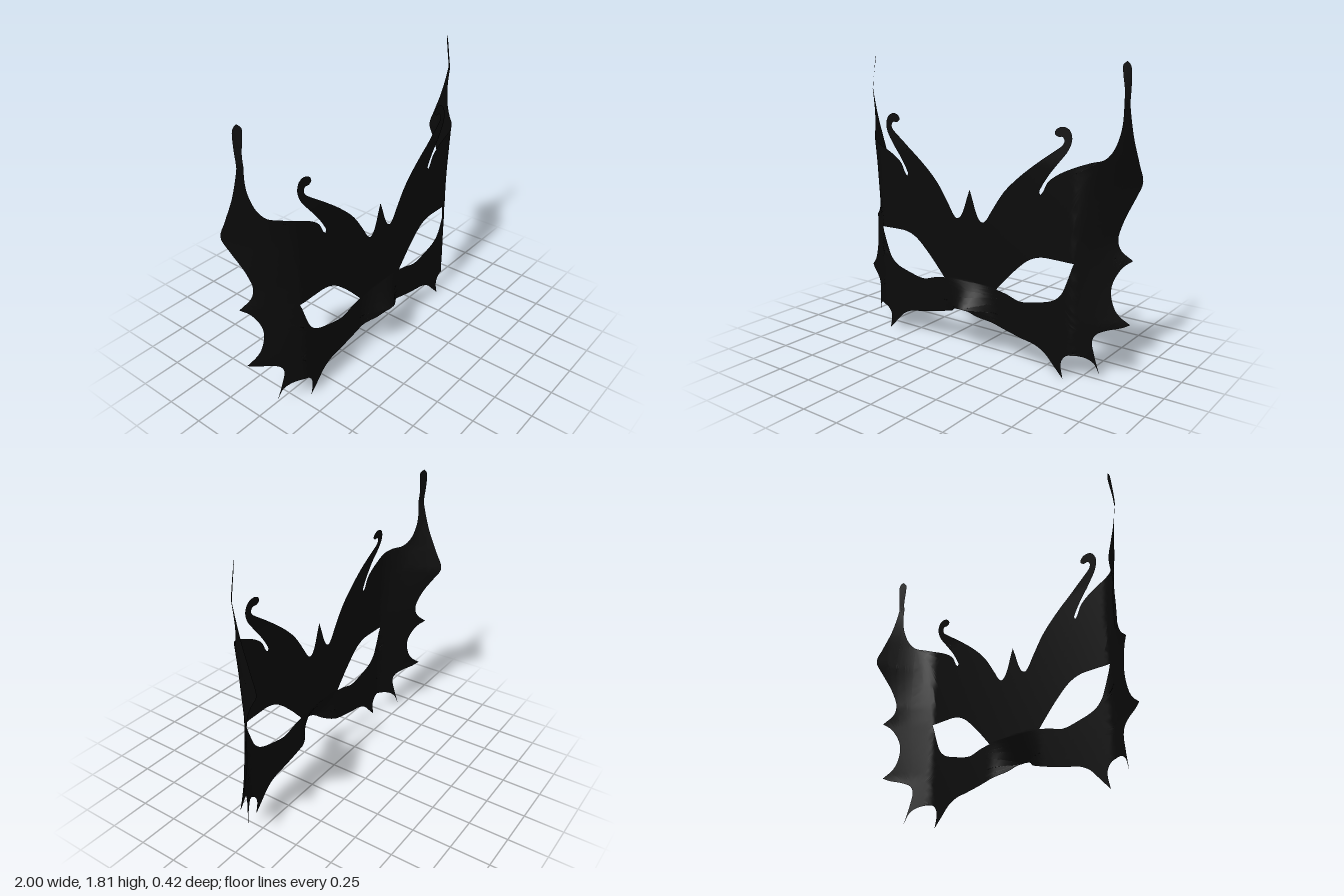
import * as THREE from 'three';
import { mergeVertices } from 'three/addons/utils/BufferGeometryUtils.js';

// Smooth run of [x, y] points, sharp at both ends
function run(pts, steps = 4) {
  const curve = new THREE.CatmullRomCurve3(pts.map(([x, y]) => new THREE.Vector3(x, y, 0)), false, 'centripetal');
  return curve.getPoints((pts.length - 1) * steps).map(p => new THREE.Vector2(p.x, p.y));
}

// Joins runs, dropping each repeated corner
const join = runs => runs.flatMap((r, i) => (i ? run(r).slice(1) : run(r)));
const mirror = pts => pts.map(p => new THREE.Vector2(-p.x, p.y)).reverse();

// Half outline, clockwise from the brow peak to the nose
const brow = [[0, 1.04], [0.02, 0.985], [0.05, 0.9], [0.075, 0.86], [0.1, 0.85], [0.125, 0.87], [0.16, 0.925],
  [0.25, 1.055], [0.36, 1.16], [0.49, 1.26], [0.6, 1.337]];
const curl = [[0.6, 1.337], [0.63, 1.362], [0.638, 1.385], [0.625, 1.405], [0.595, 1.405], [0.573, 1.422], [0.585, 1.447],
  [0.625, 1.46], [0.665, 1.445], [0.685, 1.4], [0.67, 1.34], [0.61, 1.26], [0.55, 1.185], [0.505, 1.115], [0.492, 1.085], [0.5, 1.07]];
const wingTop = [[0.5, 1.07], [0.517, 1.09], [0.545, 1.145], [0.6, 1.19], [0.7, 1.24], [0.8, 1.277], [0.85, 1.29],
  [0.88, 1.33], [0.908, 1.43], [0.92, 1.54], [0.92, 1.65], [0.904, 1.75], [0.9, 1.795], [0.915, 1.815]];
const wingSide = [[0.915, 1.815], [0.932, 1.79], [0.942, 1.7], [0.945, 1.55], [0.952, 1.4], [0.965, 1.25], [0.973, 1.15],
  [0.955, 1.06], [0.92, 0.93], [0.905, 0.83], [0.925, 0.77], [0.98, 0.715]];
const upperScallop = [[0.98, 0.715], [0.94, 0.68], [0.903, 0.6], [0.897, 0.53], [0.92, 0.44], [0.95, 0.395], [1, 0.352]];
const lowerScallop = [[1, 0.352], [0.96, 0.333], [0.89, 0.315], [0.84, 0.29], [0.822, 0.25], [0.832, 0.17], [0.86, 0.04]];
const fangGap = [[0.86, 0.04], [0.83, 0.115], [0.78, 0.15], [0.705, 0.155], [0.668, 0.12], [0.66, 0.08], [0.675, 0.003]];
const cheek = [[0.675, 0.003], [0.61, 0.07], [0.55, 0.13], [0.48, 0.165], [0.4, 0.18], [0.28, 0.205], [0.17, 0.235],
  [0.1, 0.265], [0.05, 0.3], [0, 0.31]];

const eyeTop = [[0.725, 0.705], [0.6, 0.708], [0.51, 0.705], [0.43, 0.675], [0.32, 0.58], [0.24, 0.495], [0.2, 0.45]];
const eyeBottom = [[0.2, 0.45], [0.28, 0.435], [0.37, 0.41], [0.49, 0.43], [0.6, 0.465], [0.65, 0.51], [0.68, 0.575], [0.725, 0.705]];

// Backward sweep of the sides by height: [y, linear, quadratic]
const SWEEP = [[0, 0.72, 0], [0.35, 0.64, 0], [0.72, 0.8, 0.2], [0.83, 0.7, 1.4], [1.12, 0.22, 4.2],
  [1.3, 0, 4.5], [1.6, 0.3, 2], [1.82, 0.9, 0]];

function sweep(y, d) {
  let i = 0;
  while (i < SWEEP.length - 2 && y > SWEEP[i + 1][0]) i++;
  const [y0, a0, b0] = SWEEP[i], [y1, a1, b1] = SWEEP[i + 1];
  const t = THREE.MathUtils.clamp((y - y0) / (y1 - y0), 0, 1);
  return THREE.MathUtils.lerp(a0, a1, t) * d + THREE.MathUtils.lerp(b0, b1, t) * d * d;
}

// Depth of the sheet: flat face, swept sides, raised nose, curls leaning back
function depth(x, y) {
  const ax = Math.abs(x);
  let z = 0.116 - 0.004 * y;
  if (ax > 0.72) z -= sweep(y, ax - 0.72);
  else if (y > 1.25) z -= (y - 1.25) * 0.11;
  if (ax < 0.2) {
    const rise = THREE.MathUtils.clamp((0.46 - y) / 0.15, 0, 1);
    z += 0.1 * rise * (1 + Math.cos(Math.PI * ax / 0.2)) / 2;
  }
  return z;
}

// Halves every edge longer than the limit so the sheet can bend
function subdivide(a, b, c, limit, out) {
  const ab = a.distanceTo(b), bc = b.distanceTo(c), ca = c.distanceTo(a);
  const longest = Math.max(ab, bc, ca);
  if (longest <= limit) { out.push(a, b, c); return; }
  if (longest === bc) [a, b, c] = [b, c, a];
  else if (longest === ca) [a, b, c] = [c, a, b];
  const m = a.clone().add(b).multiplyScalar(0.5);
  subdivide(a, m, c, limit, out);
  subdivide(m, b, c, limit, out);
}

function maskGeometry() {
  const half = join([brow, curl, wingTop, wingSide, upperScallop, lowerScallop, fangGap, cheek]);
  const shape = new THREE.Shape([...half, ...mirror(half).slice(1, -1)]);
  const eye = join([eyeTop, eyeBottom]).slice(0, -1);
  shape.holes.push(new THREE.Path(eye), new THREE.Path(mirror(eye)));

  const flat = new THREE.ShapeGeometry(shape).toNonIndexed().attributes.position;
  const corner = i => new THREE.Vector2(flat.getX(i), flat.getY(i));
  const points = [];
  for (let i = 0; i < flat.count; i += 3) subdivide(corner(i), corner(i + 1), corner(i + 2), 0.045, points);

  const geometry = new THREE.BufferGeometry().setFromPoints(points.map(p => new THREE.Vector3(p.x, p.y, depth(p.x, p.y))));
  const merged = mergeVertices(geometry, 1e-5);
  merged.computeVertexNormals();
  return merged;
}

export function createModel() {
  const group = new THREE.Group();
  group.name = 'masqueradeMask';
  const material = new THREE.MeshStandardMaterial({ color: 0x0a0a0a, side: THREE.DoubleSide });
  const mask = new THREE.Mesh(maskGeometry(), material);
  mask.name = 'maskSheet';
  group.add(mask);
  return group;
}
